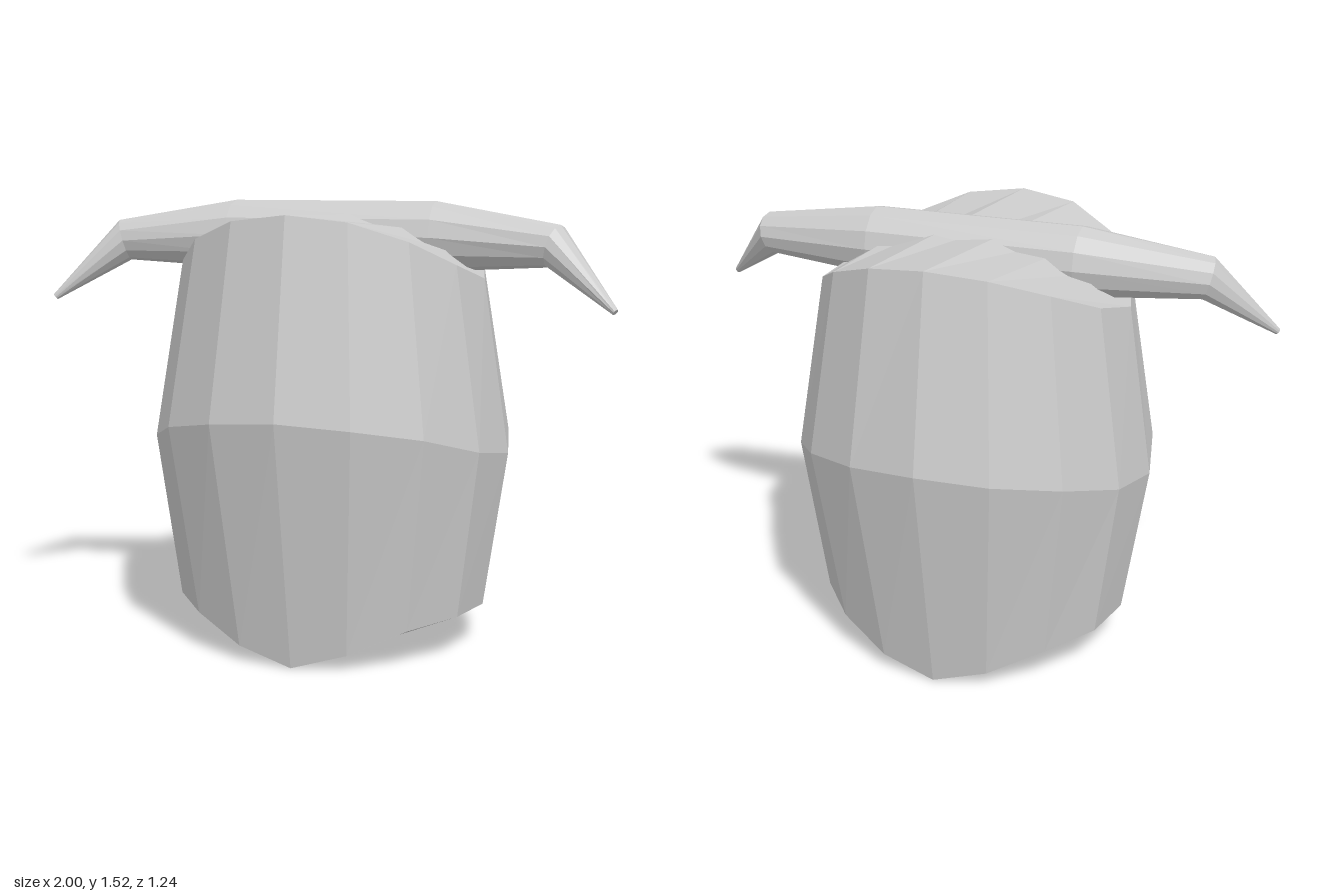
import * as THREE from 'three';

const SIDES = 16;
const HORN_SIDES = 12;

function makeMesh(name, points, faces) {
  const geometry = new THREE.BufferGeometry();
  geometry.setAttribute('position', new THREE.Float32BufferAttribute(points.flatMap((p) => p.toArray()), 3));
  geometry.setIndex(faces.flat());
  const flat = geometry.toNonIndexed();
  flat.computeVertexNormals();
  const mesh = new THREE.Mesh(flat, new THREE.MeshStandardMaterial({ color: 0xcccccc, flatShading: true }));
  mesh.name = name;
  return mesh;
}

// Join neighbouring rings of n points with outward-facing quads
function joinRings(ringCount, n) {
  const faces = [];
  for (let i = 0; i < ringCount - 1; i++) {
    for (let j = 0; j < n; j++) {
      const a = i * n + j, b = i * n + (j + 1) % n;
      faces.push([a, b, b + n], [a, b + n, a + n]);
    }
  }
  return faces;
}

// Bulging barrel: each ring gives [radius, height] at 0, 22.5, 45, 67.5 and 90 degrees from the front
function createBody() {
  const rings = [
    [[0.47, 0], [0.49, 0.055], [0.52, 0.13], [0.54, 0.147], [0.54, 0.14]],
    [[0.62, 0.84], [0.62, 0.82], [0.62, 0.78], [0.62, 0.715], [0.62, 0.675]],
    [[0.505, 1.485], [0.51, 1.463], [0.515, 1.4], [0.52, 1.32], [0.53, 1.265]],
  ];
  const points = [];
  for (const ring of rings) {
    for (let k = 0; k < SIDES; k++) {
      const q = k % 8;
      const [r, y] = ring[q > 4 ? 8 - q : q];
      const angle = (k / SIDES) * Math.PI * 2;
      points.push(new THREE.Vector3(r * Math.sin(angle), y, r * Math.cos(angle)));
    }
  }
  const faces = joinRings(3, SIDES);

  // Top: zigzag strips running front to back, forming a ridge
  const top = (k) => 2 * SIDES + (k + SIDES) % SIDES;
  let a = 3, b = 4;
  for (let i = 0; i < SIDES - 2; i++) {
    if (i % 2 === 0) {
      faces.push([top(a - 1), top(a), top(b)]);
      a--;
    } else {
      faces.push([top(a), top(b), top(b + 1)]);
      b++;
    }
  }

  // Underside: two large slopes from the central keel, plus a fan in each quarter
  faces.push([0, 8, 4], [0, 12, 8]);
  for (const [hub, first] of [[0, 1], [8, 4], [8, 9], [0, 12]]) {
    for (let i = 0; i < 3; i++) faces.push([hub, (first + i + 1) % SIDES, first + i]);
  }
  return makeMesh('body', points, faces.filter(([p, q, r]) => p !== q && q !== r && p !== r));
}

// Crossbar that tapers into drooping, forward-pointing horns
function createHorns() {
  // centre, radius and section direction on the +x half
  const half = [
    { c: [0.36, 1.403, -0.003], r: 0.118, n: [1, 0, 0] },
    { c: [0.77, 1.378, 0.04], r: 0.073, n: [1, -0.3, 0.29] },
    { c: [0.99, 1.178, 0.163], r: 0.011, n: [0.235, -0.21, 0.125] },
  ];
  const mirrored = half.map(({ c, r, n }) => ({ c: [-c[0], c[1], c[2]], r, n: [n[0], -n[1], -n[2]] }));
  const sections = [...mirrored.reverse(), ...half];
  const points = [];
  for (const { c, r, n } of sections) {
    const normal = new THREE.Vector3(...n).normalize();
    const up = new THREE.Vector3(0, 1, 0).projectOnPlane(normal).normalize();
    const side = normal.clone().cross(up);
    for (let j = 0; j < HORN_SIDES; j++) {
      const angle = (j / HORN_SIDES) * Math.PI * 2;
      points.push(new THREE.Vector3(...c)
        .addScaledVector(up, r * Math.cos(angle))
        .addScaledVector(side, r * Math.sin(angle)));
    }
  }
  const faces = joinRings(sections.length, HORN_SIDES);
  // Blunt tips
  const last = (sections.length - 1) * HORN_SIDES;
  for (let j = 1; j < HORN_SIDES - 1; j++) {
    faces.push([0, j + 1, j], [last, last + j, last + j + 1]);
  }
  return makeMesh('horns', points, faces);
}

export function createModel() {
  const group = new THREE.Group();
  group.name = 'hornedBarrel';
  group.add(createBody(), createHorns());
  return group;
}
